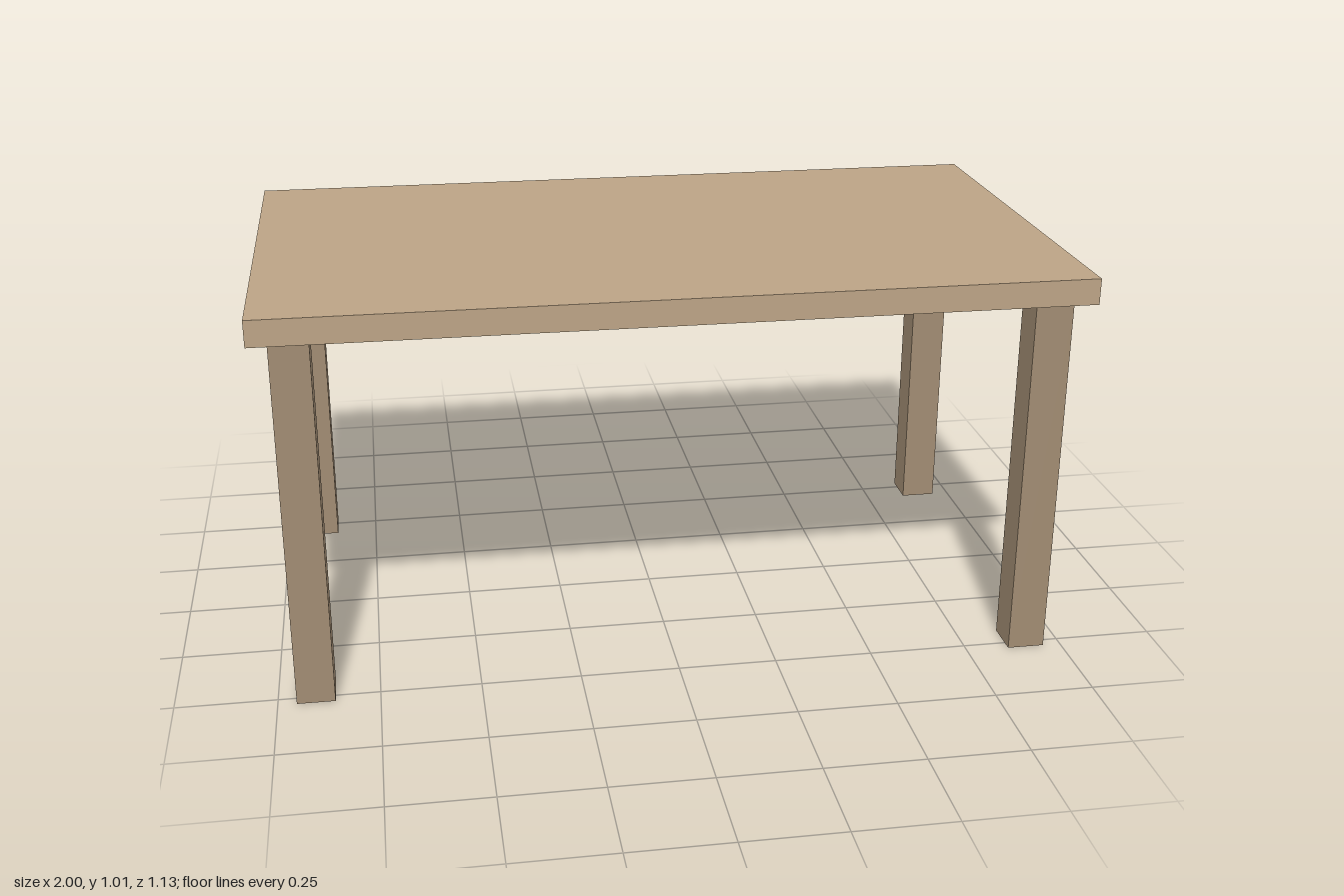
import * as THREE from 'three';

const LEG_HEIGHT = 0.941, LEG_WIDTH = 0.094;
const TOP_THICKNESS = 0.065, TOP_LENGTH = 2, TOP_DEPTH = 1.133;

export function createModel() {
  const table = new THREE.Group();
  table.name = 'table';

  const topMaterial = new THREE.MeshStandardMaterial({ color: 0xbba385 });
  const legMaterial = new THREE.MeshStandardMaterial({ color: 0xa08b72 });

  // Flat slab resting on the legs
  const top = new THREE.Mesh(new THREE.BoxGeometry(TOP_LENGTH, TOP_THICKNESS, TOP_DEPTH), topMaterial);
  top.name = 'tabletop';
  top.position.y = LEG_HEIGHT + TOP_THICKNESS / 2;
  table.add(top);

  // Four square legs, inset from the corners
  const legGeometry = new THREE.BoxGeometry(LEG_WIDTH, LEG_HEIGHT, LEG_WIDTH);
  for (const [xName, x] of [['Left', 0.907], ['Right', -0.907]]) {
    for (const [zName, z] of [['front', 0.48], ['back', -0.48]]) {
      const leg = new THREE.Mesh(legGeometry, legMaterial);
      leg.name = `${zName}${xName}Leg`;
      leg.position.set(x, LEG_HEIGHT / 2, z);
      table.add(leg);
    }
  }

  return table;
}
